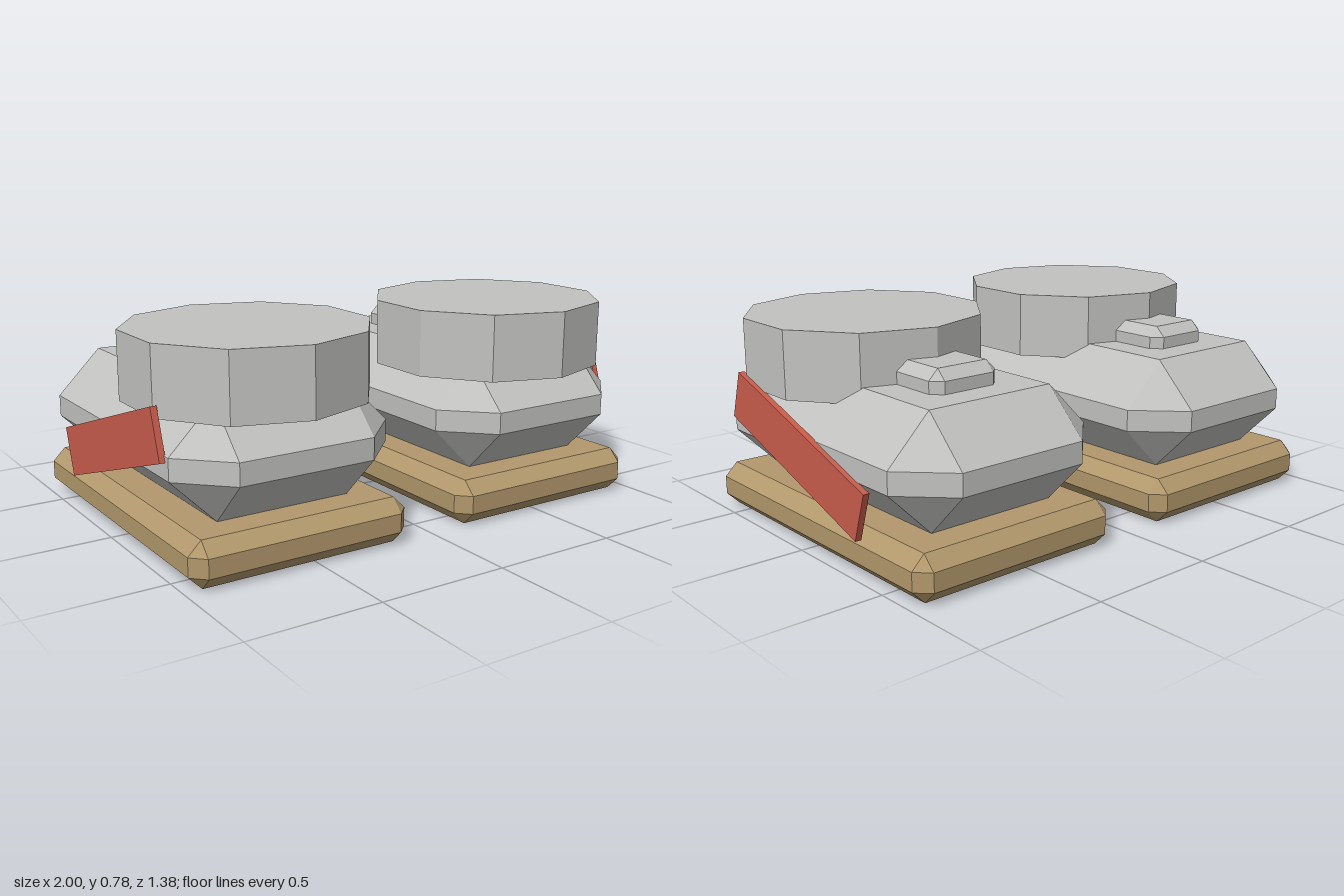
import * as THREE from 'three';
import { ConvexGeometry } from 'three/addons/geometries/ConvexGeometry.js';

// Box with every edge cut at 45 degrees and triangular corners
function chamferBox(w, h, d, b) {
  const pts = [];
  for (const sx of [-1, 1]) for (const sy of [-1, 1]) for (const sz of [-1, 1]) {
    const x = w / 2, y = h / 2, z = d / 2;
    pts.push(
      new THREE.Vector3(sx * x, sy * (y - b), sz * (z - b)),
      new THREE.Vector3(sx * (x - b), sy * y, sz * (z - b)),
      new THREE.Vector3(sx * (x - b), sy * (y - b), sz * z));
  }
  return new ConvexGeometry(pts);
}

function material(name, color) {
  const m = new THREE.MeshStandardMaterial({ color, flatShading: true });
  m.name = name;
  return m;
}

export function createModel() {
  const grey = material('light grey', 0xc2c2c0);
  const tan = material('tan', 0xb2986c);
  const red = material('red', 0xc85c4c);

  const model = new THREE.Group();
  model.name = 'pairOfBoots';

  for (const side of [1, -1]) {
    const boot = new THREE.Group();
    boot.name = side > 0 ? 'leftBoot' : 'rightBoot';
    boot.position.x = side * 0.548;
    model.add(boot);

    const add = (name, geometry, mat, x, y, z) => {
      const mesh = new THREE.Mesh(geometry, mat);
      mesh.name = name;
      mesh.position.set(x, y, z);
      boot.add(mesh);
      return mesh;
    };

    // Sole and shoe body
    add('sole', chamferBox(0.864, 0.17, 1.334, 0.05), tan, 0, 0.085, -0.022);
    add('shoeBody', chamferBox(0.864, 0.422, 1.334, 0.17), grey, 0, 0.381, -0.022);
    // Ten-sided ankle collar
    add('ankleCollar', new THREE.CylinderGeometry(0.455, 0.455, 0.253, 10), grey, 0, 0.657, 0.231);
    // Small raised block behind the collar
    add('heelBlock', chamferBox(0.29, 0.16, 0.34, 0.039), grey, 0, 0.597, -0.231);
    // Slanted strap on the outer side
    const strap = add('sideStrap', new THREE.BoxGeometry(0.024, 0.189, 0.846), red, side * 0.44, 0.36, 0.021);
    strap.rotation.x = -0.313;
  }
  return model;
}
